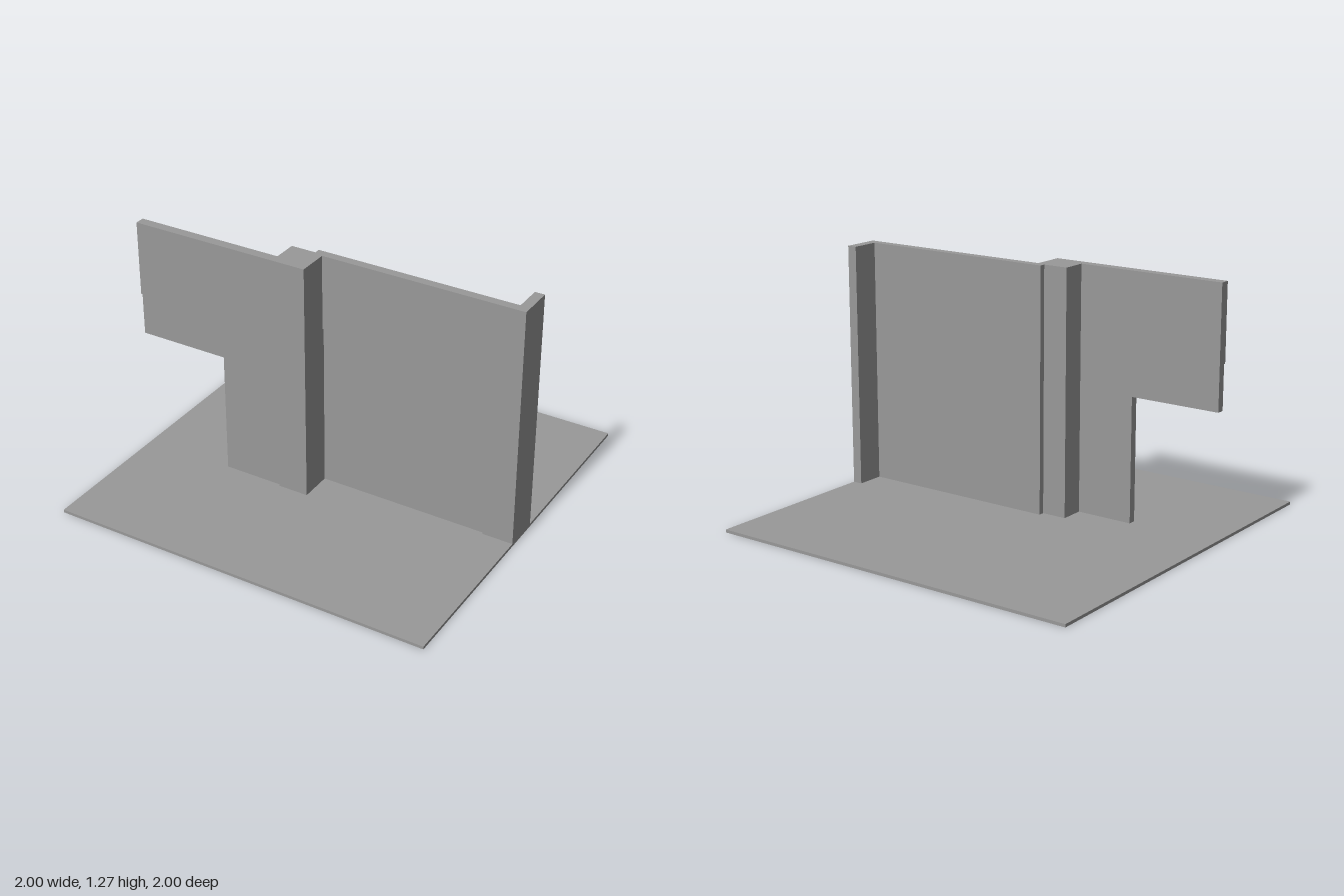
import * as THREE from 'three';

const BASE = 0.015, TOP = 1.27, RECESS = 0.01;
const FRONT_LEFT = 0.285, FRONT_RIGHT = 0.125; // z of the two front faces

export function createModel() {
  const model = new THREE.Group();
  const plaster = new THREE.MeshStandardMaterial({ color: 0x999999 });
  plaster.name = 'plaster grey';

  const add = (name, geometry) => {
    const mesh = new THREE.Mesh(geometry, plaster);
    mesh.name = name;
    model.add(mesh);
    return mesh;
  };
  const outline = (points) => new THREE.Shape(points.map(([x, y]) => new THREE.Vector2(x, y)));

  // Elevation outline (x, y) given thickness between two z values
  const elevation = (name, points, z0, z1) => {
    const g = new THREE.ExtrudeGeometry(outline(points), { depth: z1 - z0, bevelEnabled: false });
    add(name, g.translate(0, 0, z0));
  };
  // Floor plan outline (x, z) raised from the base to the wall top
  const plan = (name, points) => {
    const g = new THREE.ExtrudeGeometry(outline(points.map(([x, z]) => [x, -z])),
      { depth: TOP - BASE, bevelEnabled: false });
    add(name, g.rotateX(-Math.PI / 2).translate(0, BASE, 0));
  };

  // Ground slab
  add('baseSlab', new THREE.BoxGeometry(2, BASE, 2).translate(0, BASE / 2, 0));

  // Left wall with the open passage under its outer end
  elevation('leftWall', [
    [-1, 0.655], [-0.525, 0.655], [-0.525, BASE], [-0.225, BASE], [-0.225, TOP], [-1, TOP],
  ], 0.235, FRONT_LEFT - RECESS);

  // Stepped pier, right wall and the short return at the right end
  const zl = FRONT_LEFT - RECESS, zr = FRONT_RIGHT - RECESS;
  plan('pierAndRightWall', [
    [-0.225, zl], [-0.05, zl], [-0.05, zr], [1, zr], [1, -0.065],
    [0.95, -0.065], [0.95, 0.08], [-0.095, 0.08], [-0.095, 0.11], [-0.225, 0.11],
  ]);

  // Raised surrounds that leave the lower panels recessed
  elevation('leftSurround', [
    [-1, 0.88], [-0.21, 0.88], [-0.21, BASE], [-0.05, BASE], [-0.05, TOP], [-1, TOP],
  ], zl, FRONT_LEFT);
  elevation('rightSurround', [
    [-0.05, 0.88], [0.84, 0.88], [0.84, BASE], [1, BASE], [1, TOP], [-0.05, TOP],
  ], zr, FRONT_RIGHT);

  return model;
}
